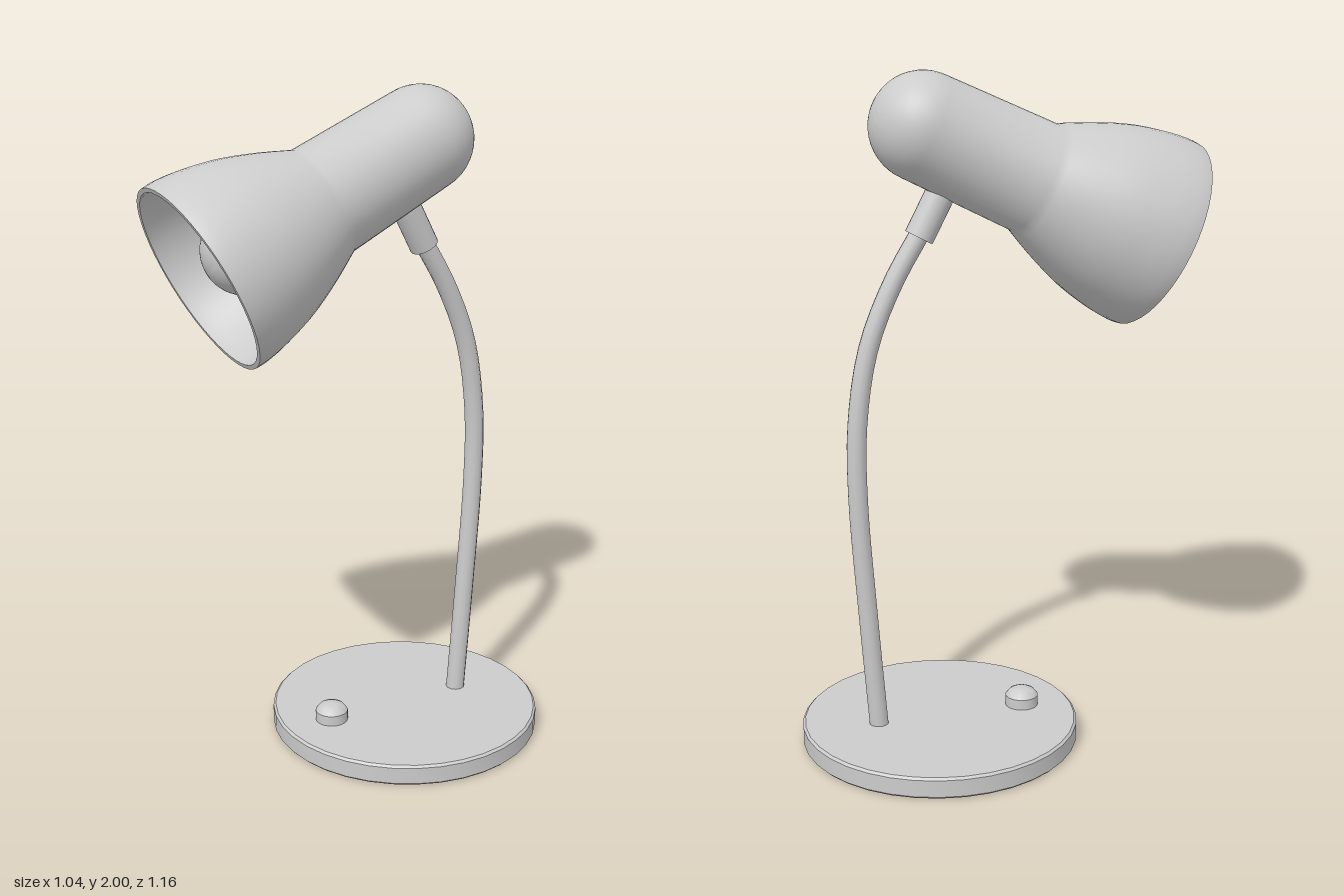
import * as THREE from 'three';
import { toCreasedNormals } from 'three/addons/utils/BufferGeometryUtils.js';

const material = new THREE.MeshStandardMaterial({ color: 0xcccccc });
const UP = new THREE.Vector3(0, 1, 0);

function addMesh(parent, name, geometry) {
  const mesh = new THREE.Mesh(geometry, material);
  mesh.name = name;
  parent.add(mesh);
  return mesh;
}

// Revolves [radius, height] pairs, keeping sharp edges crisp
function turned(profile, segments) {
  const points = profile.map(([r, y]) => new THREE.Vector2(r, y));
  return toCreasedNormals(new THREE.LatheGeometry(points, segments), 0.6);
}

// [radius, height] pairs along an arc, angles in degrees from the equator
function arc(radius, centre, from, to, steps) {
  return Array.from({ length: steps + 1 }, (_, i) => {
    const a = THREE.MathUtils.degToRad(from + ((to - from) * i) / steps);
    return [Math.max(0, radius * Math.cos(a)), centre + radius * Math.sin(a)];
  });
}

export function createModel() {
  const lamp = new THREE.Group();
  lamp.name = 'deskLamp';

  // Round base with a small edge bevel
  const base = addMesh(lamp, 'base', turned(
    [[0, 0], [0.41, 0], [0.417, 0.007], [0.417, 0.058], [0.41, 0.065], [0, 0.065]], 36));
  base.position.set(0.105, 0, -0.165);

  // Push button: collar and domed cap
  const button = addMesh(lamp, 'switchButton', turned(
    [[0.05, 0.06], [0.05, 0.097], [0.046, 0.102], [0.038, 0.112], [0.022, 0.119], [0, 0.121]], 24));
  button.position.set(-0.045, 0, 0.05);

  // Curved stem
  const path = new THREE.CatmullRomCurve3([
    [0.213, 0.05, -0.322], [0.227, 0.4, -0.344], [0.24, 0.78, -0.364], [0.24, 1.0, -0.36],
    [0.222, 1.22, -0.328], [0.183, 1.4, -0.267], [0.127, 1.57, -0.185],
  ].map((p) => new THREE.Vector3(...p)));
  addMesh(lamp, 'stem', new THREE.TubeGeometry(path, 28, 0.029, 12));

  // Sleeve joining the stem to the head
  const sleeveStart = new THREE.Vector3(0.136, 1.535, -0.2);
  const sleeveEnd = new THREE.Vector3(0.092, 1.69, -0.13);
  const sleeveAxis = sleeveEnd.clone().sub(sleeveStart);
  const sleeve = addMesh(lamp, 'stemSleeve',
    new THREE.CylinderGeometry(0.043, 0.043, sleeveAxis.length(), 20));
  sleeve.position.copy(sleeveStart).lerp(sleeveEnd, 0.5);
  sleeve.quaternion.setFromUnitVectors(UP, sleeveAxis.normalize());

  // Head group: local +y points out through the shade opening
  const head = new THREE.Group();
  head.name = 'head';
  head.position.set(0.122, 1.845, -0.19);
  head.quaternion.setFromUnitVectors(UP, new THREE.Vector3(-0.513, -0.425, 0.746).normalize());
  lamp.add(head);

  // Domed housing flaring into the bell shade, with a thin inner wall
  const bell = new THREE.SplineCurve([
    [0.165, 0.355], [0.212, 0.455], [0.254, 0.565], [0.279, 0.67], [0.288, 0.74], [0.287, 0.775],
  ].map(([r, y]) => new THREE.Vector2(r, y))).getPoints(16).map((p) => [p.x, p.y]);
  const inner = bell.slice(1).reverse().map(([r, y]) => [r - 0.014, y]);
  addMesh(head, 'housingAndShade', turned(
    [...arc(0.155, 0, -90, 0, 12), ...bell, ...inner, [0.15, 0.365], [0, 0.365]], 48));

  // Bulb with its neck
  addMesh(head, 'bulb', turned(
    [[0.055, 0.36], [0.055, 0.46], [0.065, 0.497], ...arc(0.125, 0.615, -50, 90, 18)], 32));

  return lamp;
}
